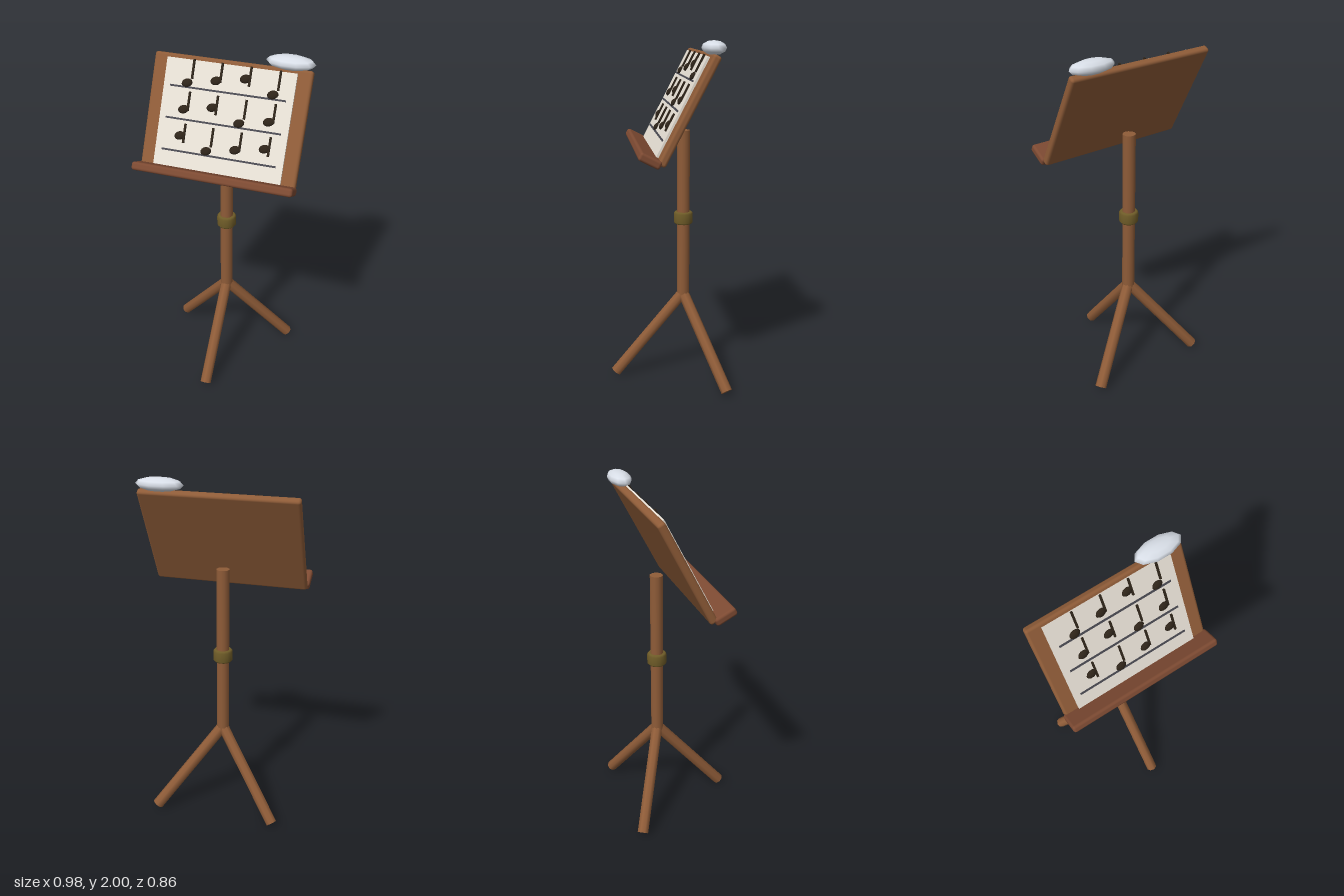
import * as THREE from 'three';
import { RoundedBoxGeometry } from 'three/addons/geometries/RoundedBoxGeometry.js';

const flat = (name, color) => {
  const m = new THREE.MeshStandardMaterial({ color });
  m.name = name;
  return m;
};

export function createModel() {
  const wood = flat('wood', 0x8f5c38);
  const redWood = flat('reddish wood', 0x7d4a32);
  const brass = flat('dark brass', 0x6f5c28);
  const paper = flat('paper', 0xe8e1d6);
  const ink = flat('note ink', 0x2e2419);
  const grey = flat('staff grey', 0x4a4a52);
  const white = flat('soft white', 0xd9dfe8);

  const model = new THREE.Group();
  model.name = 'musicStand';

  const add = (parent, name, geometry, material, x = 0, y = 0, z = 0) => {
    const mesh = new THREE.Mesh(geometry, material);
    mesh.name = name;
    mesh.position.set(x, y, z);
    parent.add(mesh);
    return mesh;
  };

  // Whole stand is turned on its post
  const stand = new THREE.Group();
  stand.name = 'stand';
  stand.position.set(-0.05, 0, -0.055);
  stand.rotation.y = Math.PI / 6;
  model.add(stand);

  // Post and collar
  add(stand, 'post', new THREE.CylinderGeometry(0.037, 0.037, 0.99, 12), wood, 0, 0.995, 0);
  const collarProfile = [[0.03, -0.036], [0.048, -0.036], [0.056, -0.026], [0.056, 0.026], [0.048, 0.036], [0.03, 0.036]]
    .map(([r, y]) => new THREE.Vector2(r, y));
  add(stand, 'collar', new THREE.LatheGeometry(collarProfile, 16), brass, 0, 0.976, 0);

  // Three splayed legs
  const up = new THREE.Vector3(0, 1, 0);
  for (let i = 0; i < 3; i++) {
    const a = (i * Math.PI * 2) / 3;
    const top = new THREE.Vector3(0, 0.51, 0);
    const foot = new THREE.Vector3(Math.sin(a) * 0.41, 0.021, Math.cos(a) * 0.41);
    const axis = top.clone().sub(foot);
    const leg = add(stand, 'leg', new THREE.CylinderGeometry(0.033, 0.033, axis.length(), 8), wood);
    leg.position.copy(top).add(foot).multiplyScalar(0.5);
    leg.quaternion.setFromUnitVectors(up, axis.normalize());
  }

  // Tilted desk with its ledge and sheet
  const desk = new THREE.Group();
  desk.name = 'desk';
  desk.position.set(0, 1.645, 0.032);
  desk.rotation.x = -0.48;
  stand.add(desk);
  add(desk, 'board', new RoundedBoxGeometry(0.885, 0.635, 0.045, 2, 0.015), wood);
  add(desk, 'ledge', new RoundedBoxGeometry(0.905, 0.047, 0.127, 2, 0.015), redWood, 0, -0.316, 0.067);
  add(desk, 'sheet', new THREE.BoxGeometry(0.726, 0.585, 0.014), paper, 0, 0.001, 0.028);

  // Staff lines, each with four notes at stepped heights
  const head = new THREE.SphereGeometry(1, 10, 8);
  const stem = new THREE.BoxGeometry(0.011, 0.105, 0.011);
  for (let row = 0; row < 3; row++) {
    const y = 0.145 - row * 0.174;
    add(desk, 'staffLine', new THREE.BoxGeometry(0.65, 0.01, 0.006), grey, 0, y, 0.037);
    for (let i = 0; i < 4; i++) {
      const x = -0.23 + i * 0.16;
      const noteHead = add(desk, 'noteHead', head, ink, x, y + 0.023 + ((row * 4 + i) % 3) * 0.031, 0.039);
      noteHead.scale.set(0.031, 0.023, 0.013);
      noteHead.rotation.z = 0.3;
      add(desk, 'noteStem', stem, ink, x + 0.025, y + 0.1, 0.04);
    }
  }

  // Soft oval resting on the top corner
  const puff = add(stand, 'whitePuff', new THREE.SphereGeometry(1, 10, 6), white, 0.315, 1.962, -0.112);
  puff.scale.set(0.135, 0.038, 0.063);

  return model;
}
